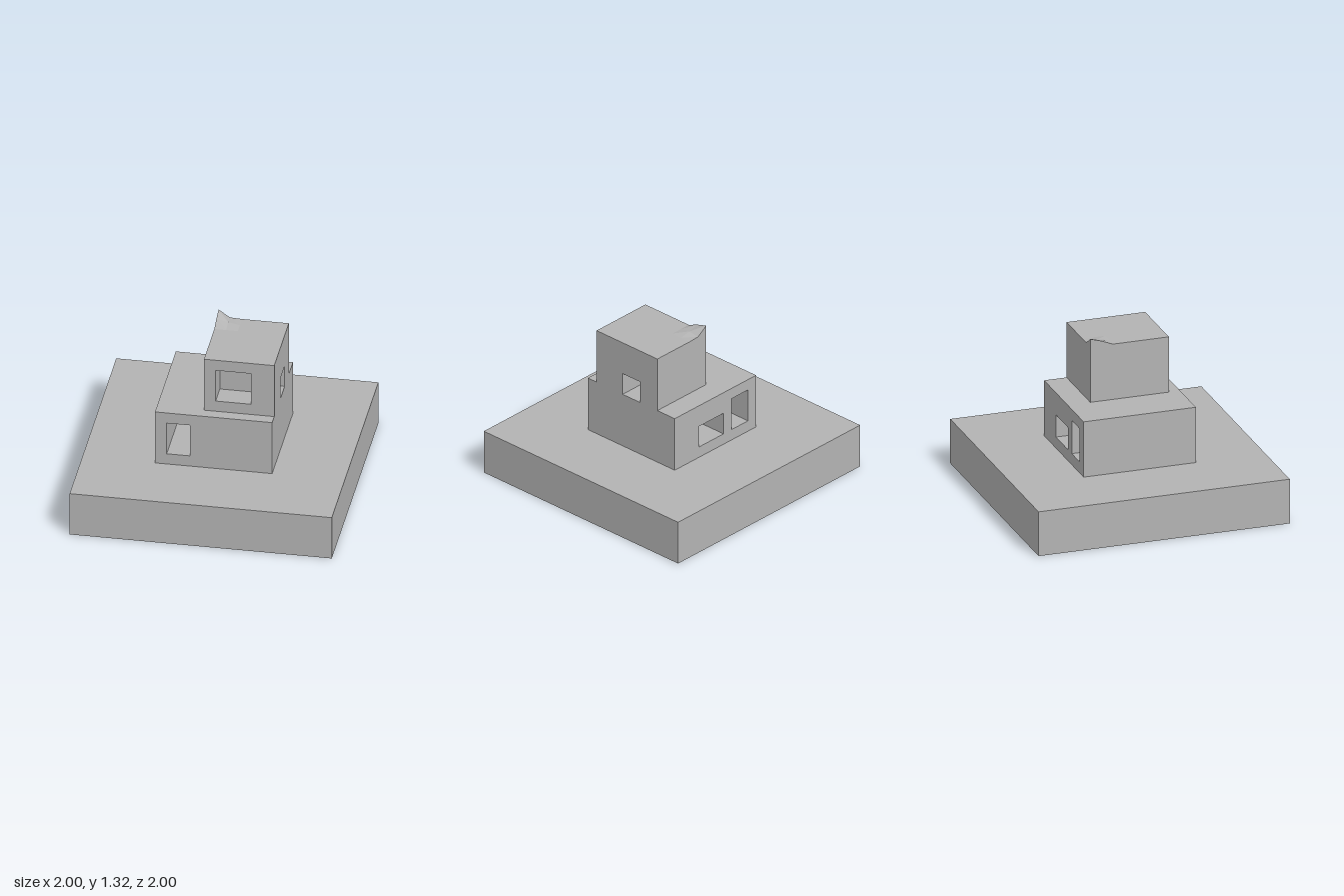
import * as THREE from 'three';

// All dimensions are in wall modules, scaled by U
const U = 0.0894;

export function createModel() {
  const stone = new THREE.MeshStandardMaterial({ color: 0xb3b3b3, flatShading: true });
  stone.name = 'grey stone';
  const group = new THREE.Group();
  group.name = 'house on plinth';

  const add = (name, geometry) => {
    const mesh = new THREE.Mesh(geometry, stone);
    mesh.name = name;
    group.add(mesh);
    return mesh;
  };
  const points = (list) => list.map(([a, b]) => new THREE.Vector2(a * U, b * U));
  const rect = (x0, y0, x1, y1) => [[x0, y0], [x1, y0], [x1, y1], [x0, y1]];

  // Slab with an outline and openings, extruded along z from z0 to z1
  const slab = (outline, holes, z0, z1) => {
    const shape = new THREE.Shape(points(outline));
    holes.forEach((h) => shape.holes.push(new THREE.Path(points(h))));
    const g = new THREE.ExtrudeGeometry(shape, { depth: (z1 - z0) * U, bevelEnabled: false });
    return g.translate(0, 0, z0 * U);
  };

  // Plinth
  add('plinth', new THREE.BoxGeometry(2, 4 * U, 2).translate(0, 2 * U, 0));

  // Lower storey: a passage runs through, the back window is a deep niche
  const passage = rect(-4, 5, -2, 8);
  const backWindow = rect(-1, 5, 2, 7);
  add('lowerStoreyFront', slab(rect(-5, 4, 5, 9), [passage], -2, 5));
  add('lowerStoreyBack', slab(rect(-5, 4, 5, 9), [passage, backWindow], -5, -2));

  // Upper storey: front part has the large window niche
  add('upperStoreyFront', slab(rect(-1, 9, 5, 14), [rect(0, 10, 3, 13)], 2, 4));
  add('upperStoreyCore', slab(rect(-1, 9, 2, 14), [], -3, 2));

  // Side part, extruded along x, notched for the side window
  const notched = [[-2, 9], [-1, 9], [-1, 11], [1, 11], [1, 9], [3, 9], [3, 14], [-2, 14]];
  add('upperStoreySide', slab(notched, [], 2, 5).rotateY(Math.PI / 2));

  // Raised roof corner: a small height grid, rows run from back to front
  const heights = [[0.064, 0.004, 0], [0.037, 0.016, 0], [0, 0, 0]];
  const top = (i, j) => [(i - 1) * U, 14 * U + heights[j][i], (j - 3) * U];
  const foot = (i, j) => [(i - 1) * U, 14 * U, (j - 3) * U];
  const pos = [];
  const quad = (a, b, c, d) => pos.push(...a, ...b, ...c, ...a, ...c, ...d);
  for (let i = 0; i < 2; i++) {
    for (let j = 0; j < 2; j++) {
      quad(top(i, j), top(i, j + 1), top(i + 1, j + 1), top(i + 1, j));
    }
    // Walls below the raised edges at the back and at the side
    quad(foot(i, 0), top(i, 0), top(i + 1, 0), foot(i + 1, 0));
    quad(foot(0, i), foot(0, i + 1), top(0, i + 1), top(0, i));
  }
  const corner = new THREE.BufferGeometry();
  corner.setAttribute('position', new THREE.Float32BufferAttribute(pos, 3));
  corner.computeVertexNormals();
  add('raisedRoofCorner', corner);

  return group;
}
